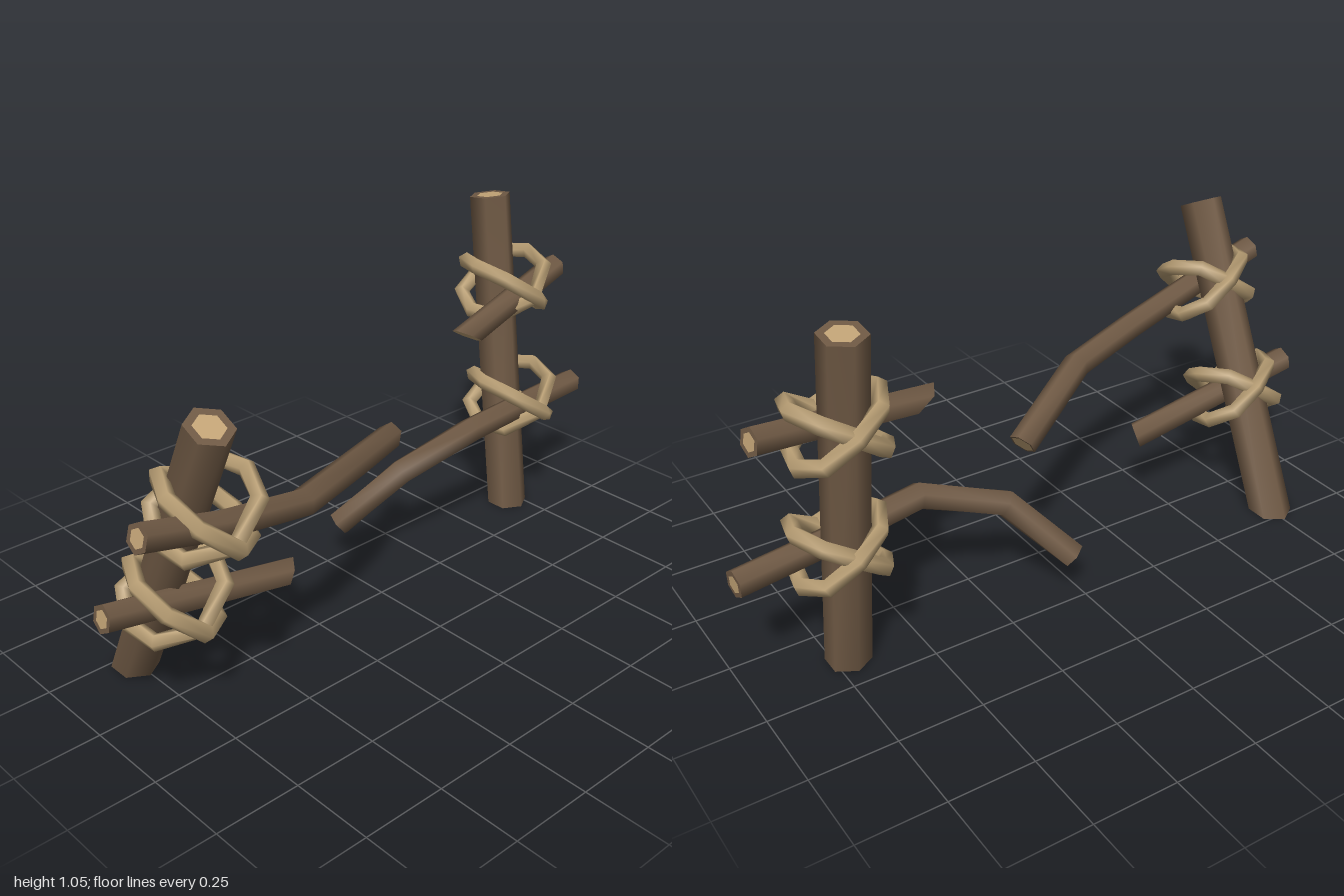
import * as THREE from 'three';

const flat = (name, color) => {
  const m = new THREE.MeshStandardMaterial({ color });
  m.name = name;
  return m;
};

const V = (a) => new THREE.Vector3(...a);

// Sweeps a polygon along a path. The ends are cut by planes with normals
// startCut / endCut; each end has a bark rim and a pale core of size "core".
function sweep(path, { radius, sides = 6, ref = [0, 1, 0], closed = false, startCut, endCut, core = [0.65, 0.65] }) {
  const pts = path.map(V), n = pts.length, pos = [], idx = [], rings = [];
  pts.forEach((p, i) => {
    const prev = pts[closed ? (i + n - 1) % n : Math.max(i - 1, 0)];
    const next = pts[closed ? (i + 1) % n : Math.min(i + 1, n - 1)];
    const T = next.clone().sub(prev).normalize();
    const N = V(ref).addScaledVector(T, -V(ref).dot(T)).normalize();
    const B = T.clone().cross(N);
    const cut = !closed && (i === 0 ? startCut : i === n - 1 ? endCut : null);
    const ring = [];
    for (let j = 0; j < sides; j++) {
      const a = (j / sides) * Math.PI * 2;
      const o = N.clone().multiplyScalar(Math.cos(a) * radius).addScaledVector(B, Math.sin(a) * radius);
      if (cut) o.addScaledVector(T, -o.dot(V(cut)) / T.dot(V(cut)));
      ring.push(o.add(p));
      pos.push(...o.toArray());
    }
    rings.push(ring);
  });
  for (let i = 0; i < (closed ? n : n - 1); i++) {
    for (let j = 0; j < sides; j++) {
      const k = (j + 1) % sides, r = i * sides, s = ((i + 1) % n) * sides;
      idx.push(r + j, r + k, s + k, r + j, s + k, s + j);
    }
  }
  const coreIdx = [];
  if (!closed) {
    [0, n - 1].forEach((e, which) => {
      const f = core[which], c = pts[e], base = pos.length / 3;
      const ring = which ? rings[e] : [...rings[e]].reverse();
      ring.forEach((q) => pos.push(...q.toArray()));
      ring.forEach((q) => pos.push(...c.clone().lerp(q, f).toArray()));
      pos.push(...c.toArray());
      for (let j = 0; j < sides; j++) {
        const k = (j + 1) % sides, a = base + j, b = base + k;
        if (f < 1) idx.push(a, b, b + sides, a, b + sides, a + sides);
        if (f > 0) coreIdx.push(base + 2 * sides, a + sides, b + sides);
      }
    });
  }
  const g = new THREE.BufferGeometry();
  g.setAttribute('position', new THREE.Float32BufferAttribute(pos, 3));
  g.setIndex([...idx, ...coreIdx]);
  g.addGroup(0, idx.length, 0);
  if (coreIdx.length) g.addGroup(idx.length, coreIdx.length, 1);
  g.computeVertexNormals();
  return g;
}

export function createModel() {
  const bark = flat('bark', 0x705a45);
  const cutWood = flat('cut wood', 0xc4a577);
  const rope = flat('rope', 0xb89e74);
  const model = new THREE.Group();
  model.name = 'brokenFence';

  const add = (name, geometry, materials, parent = model) => {
    const mesh = new THREE.Mesh(geometry, materials);
    mesh.name = name;
    parent.add(mesh);
    return mesh;
  };
  const wood = [bark, cutWood];

  // Leaning posts, cut level with the ground
  const post = { radius: 0.065, ref: [0, 0, 1], startCut: [0, 1, 0], core: [0, 0.65] };
  add('rightPost', sweep([[-0.755, 0, -0.2], [-0.77, 0.9, 0.247]], post), wood);
  add('leftPost', sweep([[0.71, 0, -0.135], [0.715, 1.04, -0.267]], post), wood);

  // Bent and snapped rails
  const r = 0.041;
  add('rightUpperRail', sweep(
    [[-0.99, 0.693, 0.25], [-0.76, 0.63, 0.238], [-0.46, 0.562, 0.195], [-0.2, 0.545, 0.1], [0.11, 0.46, -0.085]],
    { radius: r, endCut: [0.8, -0.6, -0.3], core: [0.65, 0.85] }), wood);
  add('rightLowerRail', sweep(
    [[-0.985, 0.373, 0.045], [-0.395, 0.265, 0.05]],
    { radius: r, endCut: [1, -0.4, 0.5], core: [0.65, 1] }), wood);
  add('leftUpperRail', sweep(
    [[0.935, 0.775, -0.175], [0.43, 0.695, -0.08]],
    { radius: r, endCut: [-0.5, -0.85, 0.1], core: [0.65, 1] }), wood);
  add('leftLowerRail', sweep(
    [[1, 0.358, -0.128], [0.71, 0.37, -0.095], [0.43, 0.385, -0.055], [0.185, 0.305, -0.11], [0.03, 0.135, -0.225]],
    { radius: r, core: [0.65, 0.85] }), wood);

  // Rope lashings: two oppositely tilted loops crossing at front and back
  const loop = (s, grow) => sweep([
    [0, 0, 0.12 + grow], [0.095, s * 0.065, 0.06 + grow], [0.118, s * 0.075, -0.03],
    [0.08, s * 0.055, -0.115], [0, 0, -0.122 - grow], [-0.08, -s * 0.055, -0.115],
    [-0.118, -s * 0.075, -0.03], [-0.095, -s * 0.065, 0.06 + grow],
  ], { radius: 0.025, sides: 5, closed: true });
  const lashings = [
    ['rightUpperLashing', -0.75, 0.645, 0.19, 0.42],
    ['rightLowerLashing', -0.755, 0.335, 0.035, 0.42],
    ['leftUpperLashing', 0.72, 0.765, -0.185, 0.13],
    ['leftLowerLashing', 0.72, 0.387, -0.137, 0.13],
  ];
  for (const [name, x, y, z, pitch] of lashings) {
    const g = new THREE.Group();
    g.name = name;
    g.position.set(x, y, z);
    g.rotation.x = pitch;
    add('outerLoop', loop(-1, 0.014), [rope], g);
    add('innerLoop', loop(1, 0), [rope], g);
    model.add(g);
  }
  return model;
}
